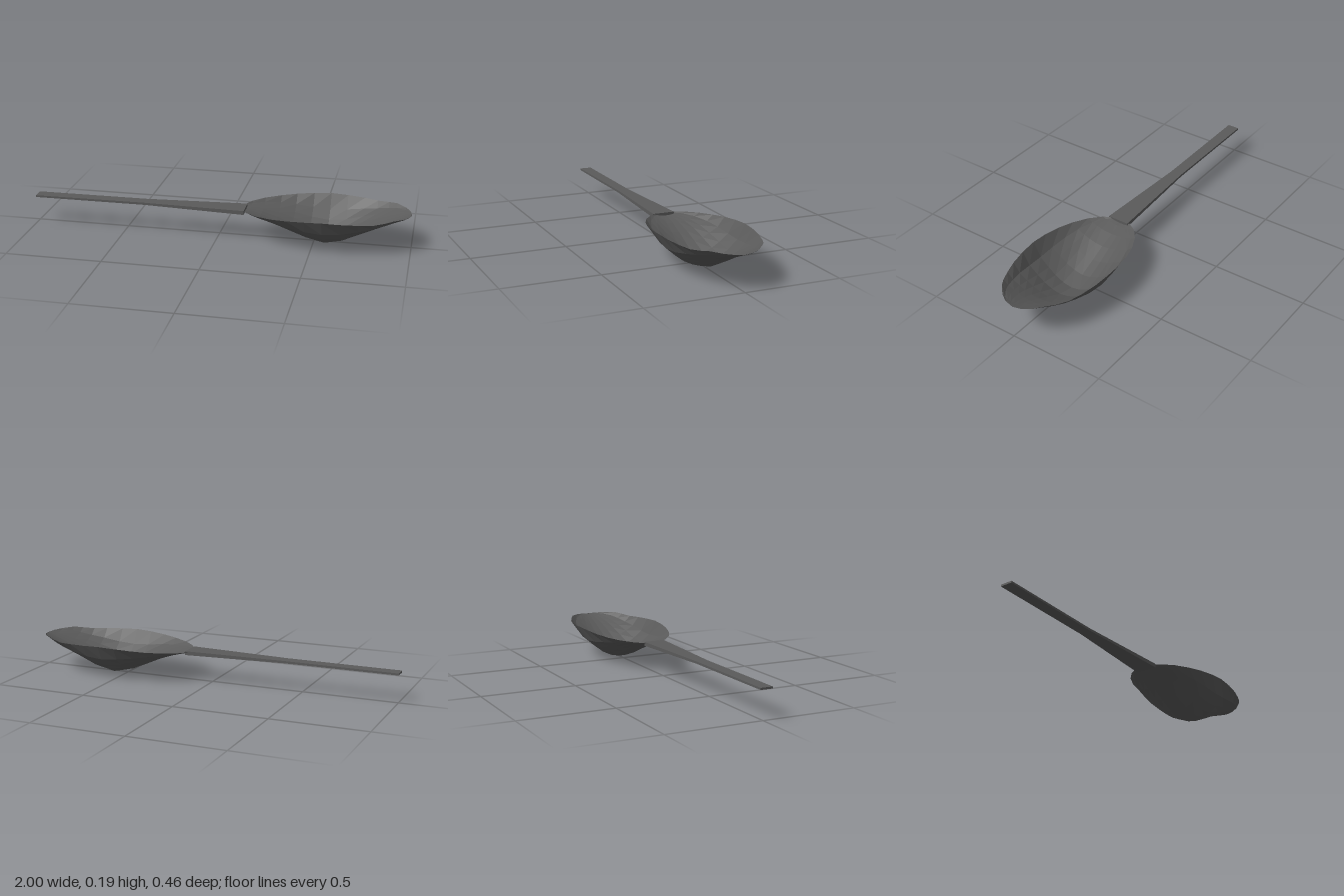
import * as THREE from 'three';

// Joins equal-length rows of points into a skin; closed wraps each row and caps both ends.
function loft(rows, closed) {
  const n = rows[0].length;
  const index = [];
  const last = (rows.length - 1) * n;
  for (let i = 0; i < rows.length - 1; i++) {
    for (let j = 0; j < (closed ? n : n - 1); j++) {
      const a = i * n + j, b = i * n + (j + 1) % n;
      index.push(a, b, a + n, b, b + n, a + n);
    }
  }
  if (closed) {
    for (let j = 1; j < n - 1; j++) {
      index.push(0, j + 1, j, last, last + j, last + j + 1);
    }
  }
  const geometry = new THREE.BufferGeometry();
  geometry.setAttribute('position', new THREE.Float32BufferAttribute(rows.flat(2), 3));
  geometry.setIndex(index);
  geometry.computeVertexNormals();
  return geometry;
}

export function createModel() {
  const group = new THREE.Group();
  group.name = 'spoon';
  const metal = new THREE.MeshStandardMaterial({ color: 0x5a5a5a, side: THREE.DoubleSide, flatShading: true });
  metal.name = 'dark grey metal';

  // Bowl stations along the length: x, rim height, bottom height
  const stations = [
    [0.119, 0.155, 0.15], [0.13, 0.156, 0.147], [0.16, 0.159, 0.141], [0.22, 0.163, 0.125],
    [0.30, 0.168, 0.096], [0.38, 0.174, 0.06], [0.47, 0.18, 0.022], [0.56, 0.184, 0],
    [0.65, 0.181, 0.02], [0.74, 0.178, 0.064], [0.81, 0.175, 0.1], [0.87, 0.181, 0.127],
    [0.91, 0.187, 0.143], [0.96, 0.183, 0.163], [0.985, 0.18, 0.173], [0.995, 0.177, 0.176],
  ];
  // Cross-section from the middle to the rim: share of half width, share of depth
  const half = [[0, 1], [0.22, 0.944], [0.43, 0.817], [0.61, 0.65], [0.826, 0.417], [1, 0]];
  const section = [...half.slice(1).reverse().map(([u, d]) => [-u, d]), ...half];
  const bowlRows = stations.map(([x, rim, bottom]) => {
    const t = (x - 0.557) / 0.438;
    const width = 0.23 * Math.sqrt(Math.max(0, 1 - t * t));
    return section.map(([u, d]) => [x, rim - (rim - bottom) * d, u * width]);
  });
  const bowl = new THREE.Mesh(loft(bowlRows, false), metal);
  bowl.name = 'bowl';

  // Handle stations: x, half width, bottom, top; the handle sits slightly forward
  const handleRows = [
    [-1, 0.032, 0.144, 0.154], [-0.4, 0.031, 0.144, 0.156], [0.14, 0.058, 0.139, 0.16],
  ].map(([x, w, low, high]) => [
    [x, low, 0.016 - w], [x, low, 0.016 + w], [x, high, 0.016 + w], [x, high, 0.016 - w],
  ]);
  const handle = new THREE.Mesh(loft(handleRows, true), metal);
  handle.name = 'handle';

  group.add(bowl, handle);
  return group;
}
